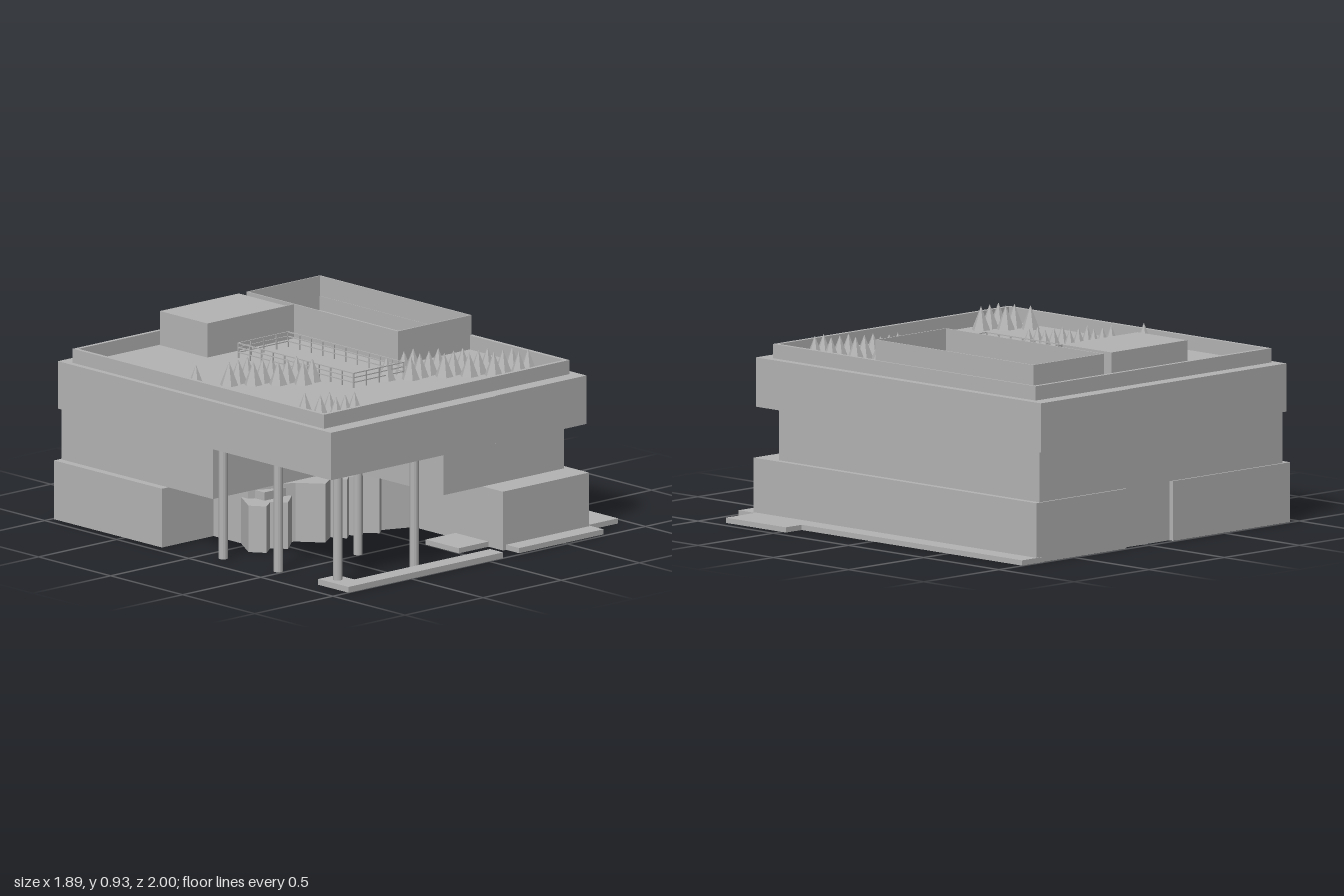
import * as THREE from 'three';

export function createModel() {
  const model = new THREE.Group();
  const grey = new THREE.MeshStandardMaterial({ color: 0xb4b4b4 });
  grey.name = 'concrete grey';
  grey.flatShading = true;

  const add = (name, geometry, parent = model) => {
    const mesh = new THREE.Mesh(geometry, grey);
    mesh.name = name;
    parent.add(mesh);
    return mesh;
  };
  // Box given by its lower and upper limits on each axis
  const box = (name, x0, x1, y0, y1, z0, z1, parent) =>
    add(name, new THREE.BoxGeometry(x1 - x0, y1 - y0, z1 - z0), parent)
      .position.set((x0 + x1) / 2, (y0 + y1) / 2, (z0 + z1) / 2);
  // Vertical prism over a floor plan of [x, z] points
  const prism = (name, plan, y0, y1) => {
    const shape = new THREE.Shape(plan.map(([x, z]) => new THREE.Vector2(x, -z)));
    const geometry = new THREE.ExtrudeGeometry(shape, { depth: y1 - y0, bevelEnabled: false });
    geometry.rotateX(-Math.PI / 2);
    add(name, geometry).position.y = y0;
  };
  // Four walls around a rectangle, open above
  const wallRing = (name, x0, x1, y0, y1, z0, z1, t) => {
    const ring = new THREE.Group();
    ring.name = name;
    box('frontWall', x0, x1, y0, y1, z1 - t, z1, ring);
    box('backWall', x0, x1, y0, y1, z0, z0 + t, ring);
    box('leftWall', x1 - t, x1, y0, y1, z0 + t, z1 - t, ring);
    box('rightWall', x0, x0 + t, y0, y1, z0 + t, z1 - t, ring);
    model.add(ring);
  };

  // Paving at ground level
  box('sidePath', 0.7, 0.84, 0, 0.025, -0.995, 0.48);
  box('sidePad', 0.7, 0.945, 0, 0.025, 0.47, 0.87);
  box('frontPad', 0.21, 0.75, 0, 0.025, 0.86, 0.98);
  box('entranceStep', 0.0, 0.21, 0, 0.025, 0.56, 0.79);
  box('frontKerb', -0.9, 0.09, 0, 0.028, 0.91, 1.0);
  box('kerbEnd', -0.9, -0.78, 0, 0.028, 0.79, 0.91);

  // Ground floor with a folded facade beside the open forecourt
  prism('groundFloor', [
    [0.74, -0.99], [0.74, 0.89], [0.19, 0.89], [0.19, 0.27], [0.04, 0.21],
    [-0.01, 0.25], [-0.06, 0.19], [-0.10, 0.23], [-0.14, 0.18], [-0.19, 0.22],
    [-0.23, 0.15], [-0.32, 0.21], [-0.41, 0.1], [-0.62, 0.0], [-0.62, -0.24],
    [-0.95, -0.24], [-0.95, -0.99], [-0.17, -0.99], [-0.17, -0.965],
    [0.14, -0.965], [0.14, -0.99],
  ], 0, 0.285);
  prism('entrancePorch', [
    [-0.41, 0.08], [-0.53, 0.18], [-0.59, 0.12], [-0.66, 0.17],
    [-0.71, 0.1], [-0.62, -0.05], [-0.41, -0.05],
  ], 0, 0.225);
  box('porchTop', -0.59, -0.41, 0.225, 0.265, -0.05, 0.08);

  // Middle floor, set back on the right of the front
  prism('middleFloor', [
    [0.71, -0.98], [0.71, 0.75], [-0.06, 0.75], [-0.06, 0.07],
    [-0.91, 0.07], [-0.91, -0.98],
  ], 0.285, 0.53);
  for (const y of [0.31, 0.345, 0.38]) box('balconyRail', -0.2, -0.06, y - 0.003, y + 0.003, 0.1, 0.106);
  for (const x of [-0.2, -0.13, -0.066]) box('balconyPost', x, x + 0.006, 0.285, 0.38, 0.1, 0.106);

  // Overhanging top floor, in two slightly stepped halves
  box('topFloorRight', -0.92, 0.14, 0.53, 0.76, -0.995, 0.9);
  box('topFloorLeft', 0.14, 0.72, 0.525, 0.76, -1.0, 0.895);

  // Round columns under the overhang
  for (const [x, z] of [[-0.35, 0.86], [-0.84, 0.86], [-0.86, 0.47], [-0.36, 0.48], [-0.88, 0.11]]) {
    add('column', new THREE.CylinderGeometry(0.022, 0.022, 0.53, 16)).position.set(x, 0.265, z);
  }

  // Roof edge and roof structures
  wallRing('parapet', -0.89, 0.68, 0.76, 0.828, -0.925, 0.82, 0.02);
  wallRing('openPlantRoom', 0.2, 0.67, 0.76, 0.925, -0.9, 0.15, 0.007);
  box('closedPlantRoom', -0.355, 0.15, 0.76, 0.925, -0.9, -0.57);
  box('linkWall', 0.15, 0.2, 0.76, 0.925, -0.575, -0.57);

  // Roof terrace railing
  const railing = new THREE.Group();
  railing.name = 'roofRailing';
  model.add(railing);
  const [rx0, rx1, rz0, rz1, rt] = [-0.255, 0.07, -0.47, 0.335, 0.006];
  for (const y of [0.785, 0.808, 0.829]) {
    for (const z of [rz0, rz1 - rt]) box('rail', rx0, rx1, y, y + 0.005, z, z + rt, railing);
    for (const x of [rx0, rx1 - rt]) box('rail', x, x + rt, y, y + 0.005, rz0, rz1, railing);
  }
  for (let i = 0; i <= 10; i++) {
    const z = rz0 + (rz1 - rz0 - rt) * i / 10;
    for (const x of [rx0, rx1 - rt]) box('post', x, x + rt, 0.76, 0.83, z, z + rt, railing);
  }
  for (let i = 1; i < 4; i++) {
    const x = rx0 + (rx1 - rx0) * i / 4;
    for (const z of [rz0, rz1 - rt]) box('post', x, x + rt, 0.76, 0.83, z, z + rt, railing);
  }

  // Roof trees in short rows: first x, first z, count
  const rows = [
    [-0.795, -0.172, 1], [-0.64, -0.11, 3], [-0.55, -0.04, 3], [-0.46, 0.035, 3], [-0.367, 0.107, 2],
    [-0.025, 0.315, 1], [0.107, 0.293, 2], [0.065, 0.385, 4], [0.22, 0.45, 3],
    [0.312, 0.523, 3], [0.403, 0.595, 3], [0.497, 0.667, 2],
    [-0.78, 0.567, 1], [-0.757, 0.65, 2], [-0.73, 0.73, 3],
  ];
  const cone = new THREE.ConeGeometry(0.045, 0.113, 6, 1, false, Math.PI / 6);
  for (const [x, z, count] of rows) {
    for (let i = 0; i < count; i++) {
      add('roofTree', cone).position.set(x + i * 0.067, 0.8165, z - i * 0.009);
    }
  }
  return model;
}
